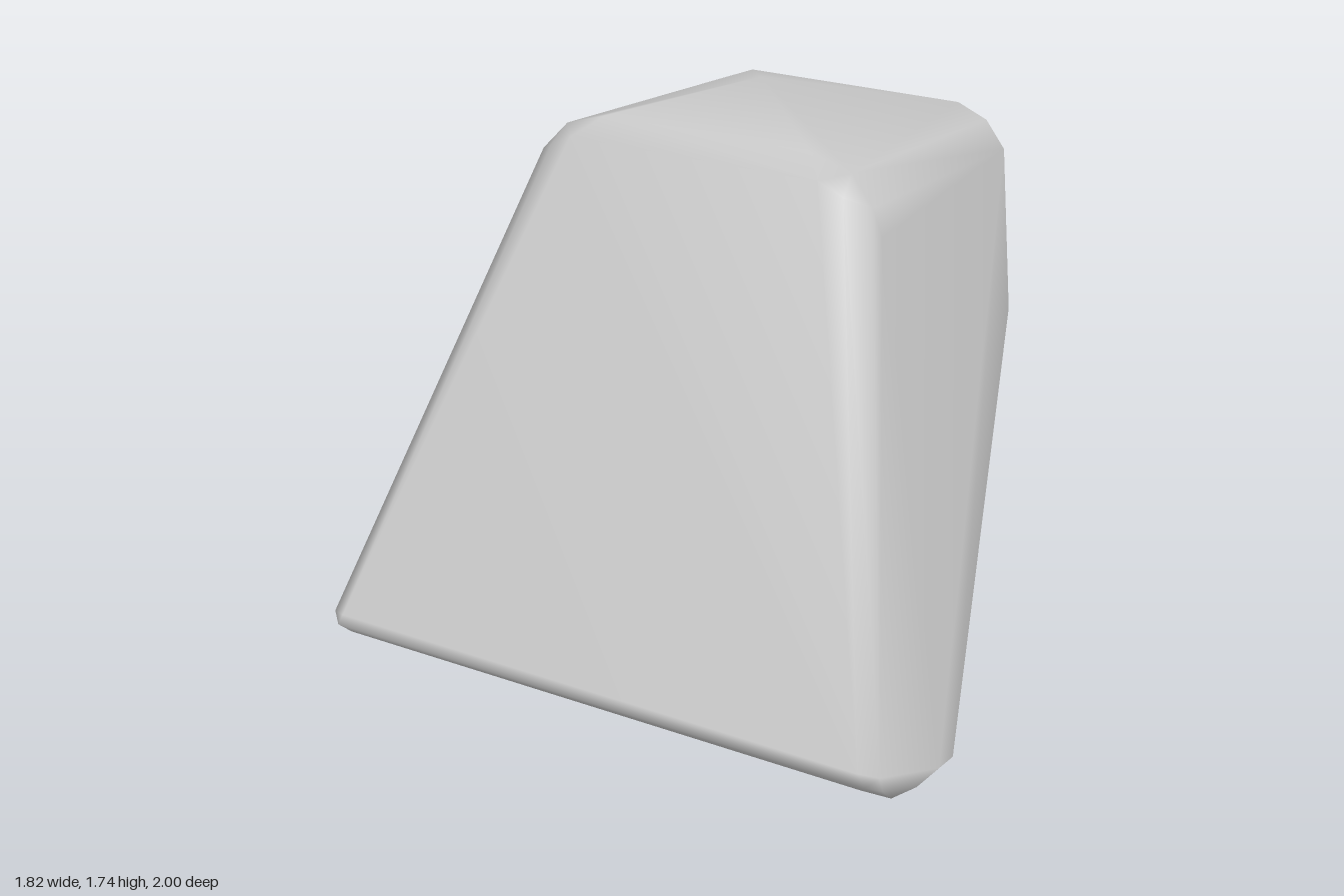
import * as THREE from 'three';
import { ConvexGeometry } from 'three/addons/geometries/ConvexGeometry.js';
import { mergeVertices } from 'three/addons/utils/BufferGeometryUtils.js';

// Rounded corners of the left half, each a small cluster of [x, y, z] points
const corners = {
  upperFront: [[0.37, 1.66, 0.31], [0.31, 1.70, 0.22], [0.43, 1.66, 0.22], [0.44, 1.62, 0.30],
    [0.50, 1.58, 0.24], [0.53, 1.50, 0.24]],
  upperBack: [[0.36, 1.47, -0.88], [0.38, 1.39, -0.98], [0.35, 1.33, -1.00], [0.46, 1.43, -0.87],
    [0.46, 1.34, -0.96], [0.53, 1.35, -0.85]],
  lowerBack: [[0.40, 0.70, -0.89], [0.42, 0.56, -0.86], [0.42, 0.50, -0.80], [0.51, 0.60, -0.84],
    [0.52, 0.74, -0.88], [0.57, 0.68, -0.83], [0.59, 0.80, -0.84]],
  frontLip: [[0.80, 0.36, 1.00], [0.82, 0.32, 1.00], [0.80, 0.28, 0.97], [0.85, 0.34, 0.97],
    [0.85, 0.27, 0.94]],
  underside: [[0.84, 0.16, 0.84], [0.84, 0.07, 0.68], [0.86, 0.01, 0.53], [0.86, 0.00, 0.47],
    [0.89, 0.17, 0.78], [0.91, 0.14, 0.65], [0.90, 0.05, 0.49]],
};

export function createModel() {
  const group = new THREE.Group();

  // Low peak on the top face, then every corner mirrored across the middle
  const points = [new THREE.Vector3(0, 1.74, -0.15)];
  for (const [x, y, z] of Object.values(corners).flat()) {
    for (const side of [1, -1]) points.push(new THREE.Vector3(side * x, y, z));
  }

  // Shared vertices let the area-weighted normals shade the bevels smoothly
  let geometry = new ConvexGeometry(points);
  geometry.deleteAttribute('normal');
  geometry = mergeVertices(geometry, 1e-4);
  geometry.computeVertexNormals();

  const body = new THREE.Mesh(geometry, new THREE.MeshStandardMaterial({ color: 0xcccccc }));
  body.name = 'bevelledBlock';
  group.add(body);
  return group;
}
